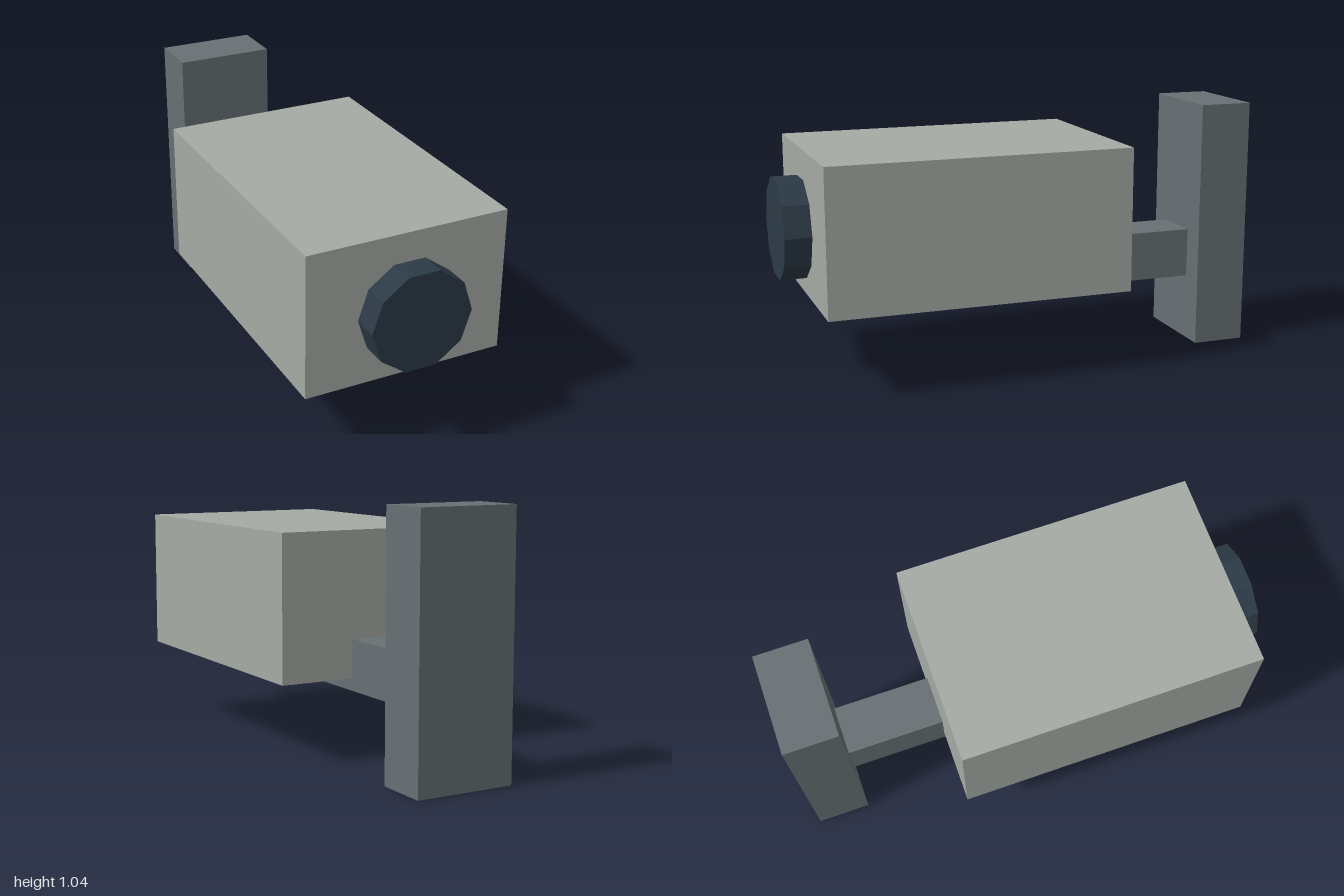
import * as THREE from 'three';

const material = (name, color) => {
  const m = new THREE.MeshStandardMaterial({ color });
  m.name = name;
  return m;
};

export function createModel() {
  const casing = material('casing grey', 0xa4aaa4);
  const metal = material('bracket grey', 0x677073);
  const glass = material('lens blue', 0x2c3a46);
  const group = new THREE.Group();
  group.name = 'securityCamera';

  const add = (name, geometry, mat, y, z) => {
    const mesh = new THREE.Mesh(geometry, mat);
    mesh.name = name;
    mesh.position.set(0, y, z);
    group.add(mesh);
  };
  // Box centred on x, given its width and its y and z ranges
  const box = (name, mat, width, [y0, y1], [z0, z1]) =>
    add(name, new THREE.BoxGeometry(width, y1 - y0, z1 - z0), mat, (y0 + y1) / 2, (z0 + z1) / 2);

  box('wallPlate', metal, 0.416, [0, 1.045], [-1, -0.777]);
  box('arm', metal, 0.208, [0.28, 0.488], [-0.777, 0.107]);
  box('cameraBody', casing, 0.832, [0.33, 0.922], [-0.365, 0.885]);

  // Ten-sided lens with corners pointing left and right
  const lens = new THREE.CylinderGeometry(0.208, 0.208, 0.107, 10, 1, false, Math.PI / 2)
    .rotateX(Math.PI / 2).toNonIndexed();
  lens.computeVertexNormals();
  add('lens', lens, glass, 0.61, 0.9465);

  return group;
}
